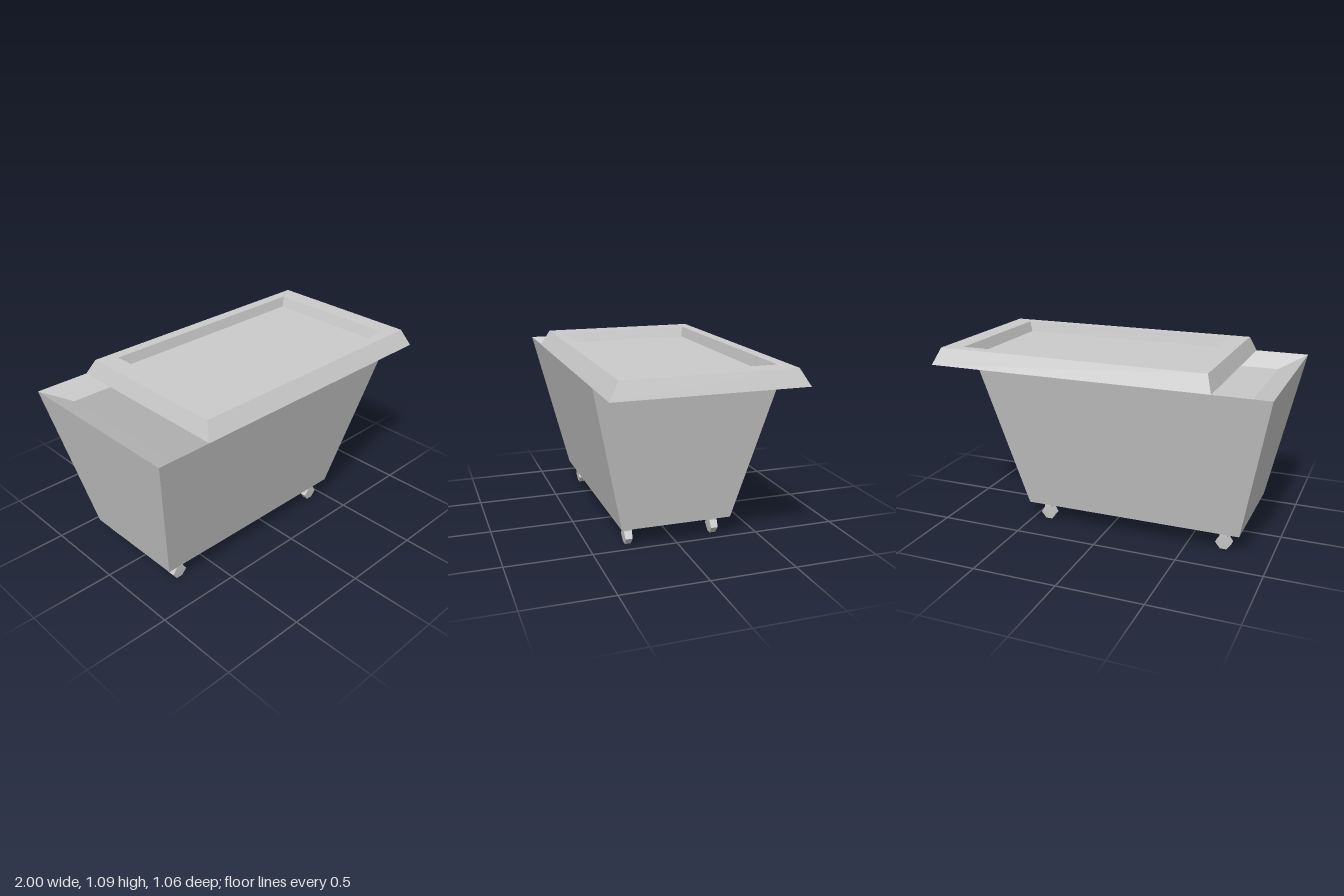
import * as THREE from 'three';

const material = new THREE.MeshStandardMaterial({ color: 0xcccccc, flatShading: true });

// Lofts rectangular rings [y, halfX, halfZ] in order, capping the first (down) and last (up).
function loft(name, rings) {
  const pos = [];
  const corners = rings.map(([y, hx, hz]) => [[-hx, y, hz], [hx, y, hz], [hx, y, -hz], [-hx, y, -hz]]);
  const quad = (a, b, c, d) => pos.push(...a, ...b, ...c, ...a, ...c, ...d);
  for (let r = 0; r < corners.length - 1; r++) {
    const lo = corners[r], hi = corners[r + 1];
    for (let i = 0; i < 4; i++) {
      const j = (i + 1) % 4;
      quad(lo[i], lo[j], hi[j], hi[i]);
    }
  }
  const first = corners[0], last = corners[corners.length - 1];
  quad(first[3], first[2], first[1], first[0]);
  quad(last[0], last[1], last[2], last[3]);
  const geometry = new THREE.BufferGeometry();
  geometry.setAttribute('position', new THREE.Float32BufferAttribute(pos, 3));
  geometry.computeVertexNormals();
  const mesh = new THREE.Mesh(geometry, material);
  mesh.name = name;
  return mesh;
}

export function createModel() {
  const group = new THREE.Group();
  group.name = 'openChest';

  // Flared tub: outer walls, sharp rim, sloping lip, hollow interior and floor
  const body = loft('body', [
    [0.12, 0.66, 0.33],
    [0.993, 0.84, 0.53],
    [0.91, 0.68, 0.43],
    [0.22, 0.54, 0.27],
  ]);
  body.position.x = -0.16;
  group.add(body);

  // Lid slid sideways: bevelled edge and recessed top panel
  const lid = loft('lid', [
    [0.993, 0.84, 0.53],
    [1.087, 0.805, 0.475],
    [1.087, 0.692, 0.41],
    [1.025, 0.67, 0.397],
  ]);
  lid.position.x = 0.16;
  group.add(lid);

  // Four small faceted feet
  const feet = new THREE.Group();
  feet.name = 'feet';
  for (const x of [-0.717, 0.402]) {
    for (const z of [0.273, -0.255]) {
      const foot = loft('foot', [
        [0, 0.02, 0.017],
        [0.04, 0.048, 0.021],
        [0.08, 0.022, 0.024],
        [0.12, 0.022, 0.024],
      ]);
      foot.position.set(x, 0, z);
      feet.add(foot);
    }
  }
  group.add(feet);

  return group;
}
